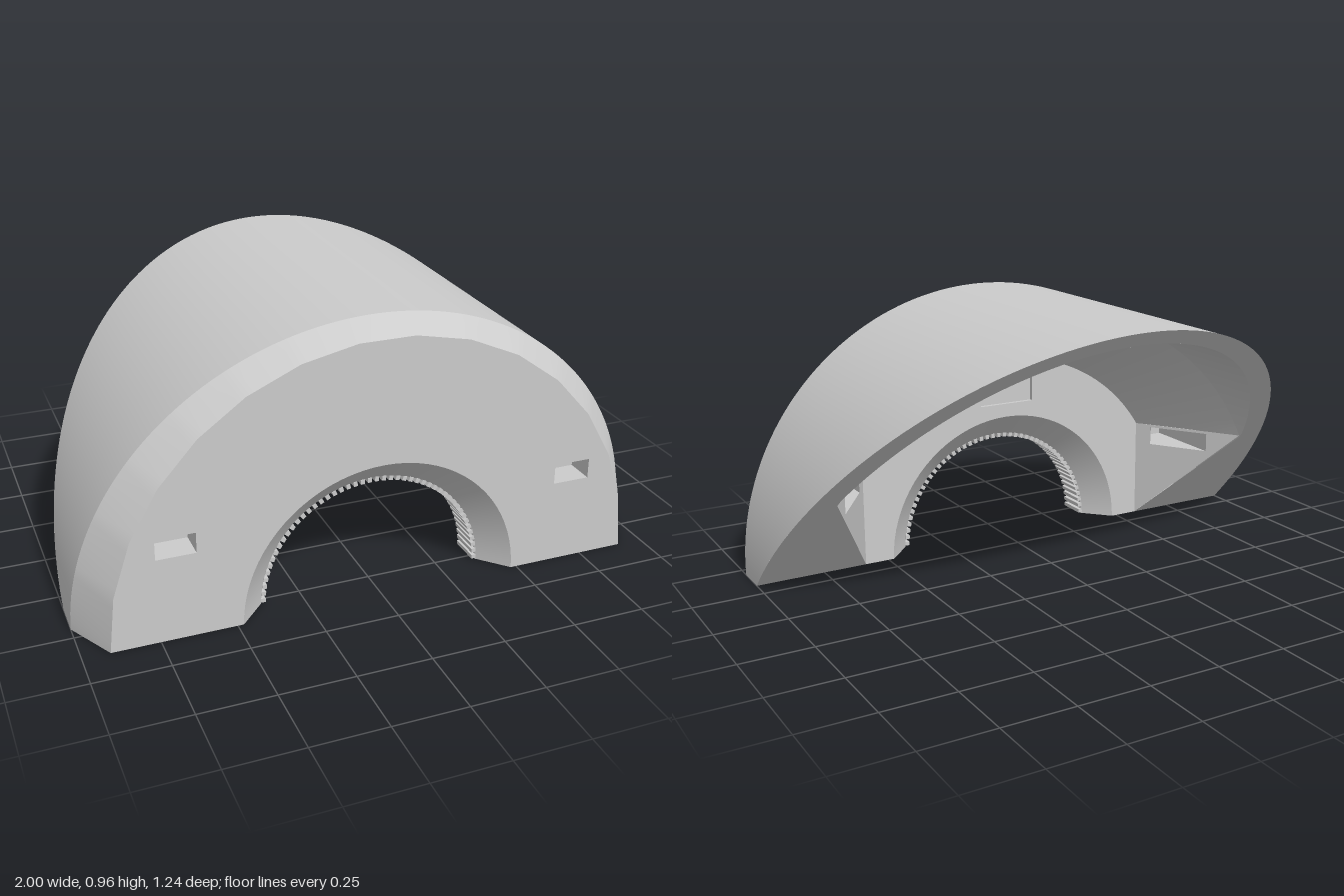
import * as THREE from 'three';
import { toCreasedNormals } from 'three/addons/utils/BufferGeometryUtils.js';

const FRONT = 0.62, BACK = 0.33;            // front face and rear of the wall
const BORE = 0.39, BORE_EDGE = 0.48;        // bore and its chamfered edge
const WALL_X = 0.59, CORNER_Y = 0.375;      // flat lower sides of the cavity
const R0 = 0.70, R1 = 0.91, TAPER = 0.36;   // cavity radii and taper length
const X1 = Math.sqrt(R1 * R1 - CORNER_Y * CORNER_Y);
const SLOT = { x: 0.69, y: 0.33, w: 0.13, h: 0.07 };
const cutZ = y => BACK - 0.985 * y;         // slanted rear cut
const flatWallZ = x => BACK - TAPER * (x - WALL_X) / (X1 - WALL_X);

const material = new THREE.MeshStandardMaterial({ color: 0xcccccc, side: THREE.DoubleSide });

// Surface from a rule fn(u, v) -> [x, y, z]
function grid(fn, nu, nv, flip = false) {
  const pos = [], idx = [];
  for (let j = 0; j <= nv; j++)
    for (let i = 0; i <= nu; i++) pos.push(...fn(i / nu, j / nv));
  for (let j = 0; j < nv; j++)
    for (let i = 0; i < nu; i++) {
      const a = j * (nu + 1) + i, b = a + 1, c = a + nu + 1, d = c + 1;
      idx.push(...(flip ? [a, c, b, b, c, d] : [a, b, c, b, d, c]));
    }
  const g = new THREE.BufferGeometry();
  g.setAttribute('position', new THREE.Float32BufferAttribute(pos, 3));
  g.setIndex(idx);
  return g;
}

const arc = (r, from, to, n) => Array.from({ length: n + 1 }, (_, i) => {
  const a = from + (to - from) * i / n;
  return [r * Math.cos(a), r * Math.sin(a)];
});
const rect = (x, y, w, h) => [
  [x - w / 2, y - h / 2], [x + w / 2, y - h / 2], [x + w / 2, y + h / 2], [x - w / 2, y + h / 2]];

// Flat face with holes, optionally turned to face -z
function face(outline, holes = [], flip = false) {
  const vec = pts => pts.map(p => new THREE.Vector2(p[0], p[1]));
  const shape = new THREE.Shape(vec(outline));
  holes.forEach(h => shape.holes.push(new THREE.Path(vec(h))));
  const g = new THREE.ShapeGeometry(shape);
  if (flip) g.index.array.reverse();
  return g;
}

// Outer section and the faceted outline of the front face
const outer = a => [Math.cos(a), 0.96 * Math.sin(a)];
const FACETS = 15, frontPts = arc(0.91, 0, Math.PI, FACETS);
function frontEdge(u) {
  const i = Math.min(FACETS - 1, Math.floor(u * FACETS)), k = u * FACETS - i;
  return [0, 1].map(c => frontPts[i][c] * (1 - k) + frontPts[i + 1][c] * k);
}
const chamferZ = a => 0.45 + 0.085 * Math.sin(a);

// Inner edge of the slanted rim: straight low down, round above
const PHI = Math.asin(CORNER_Y / R1);
function rimInner(a) {
  const b = Math.min(a, Math.PI - a), s = a > Math.PI / 2 ? -1 : 1;
  if (b >= PHI) return [R1 * Math.cos(a), R1 * Math.sin(a)];
  const k = Math.max(0, b / PHI);
  return [s * (WALL_X + (X1 - WALL_X) * k), CORNER_Y * k];
}

export function createModel() {
  const group = new THREE.Group();
  const add = (name, g, parent = group) => {
    g.deleteAttribute('uv');
    g.computeVertexNormals();
    const m = new THREE.Mesh(toCreasedNormals(g, 0.45), material);
    m.name = name;
    parent.add(m);
    return m;
  };
  const PI = Math.PI;

  // Outer skin
  add('outerShell', grid((u, v) => {
    const [x, y] = outer(u * PI), z0 = chamferZ(u * PI);
    return [x, y, z0 + (cutZ(y) - z0) * v];
  }, 90, 4, true));
  add('frontChamfer', grid((u, v) => {
    const p = frontEdge(u), q = outer(u * PI);
    return [p[0] + (q[0] - p[0]) * v, p[1] + (q[1] - p[1]) * v,
      FRONT + (chamferZ(u * PI) - FRONT) * v];
  }, 90, 1, true));
  add('slantedRim', grid((u, v) => {
    const p = outer(u * PI), q = rimInner(u * PI);
    const y = p[1] + (q[1] - p[1]) * v;
    return [p[0] + (q[0] - p[0]) * v, y, cutZ(y)];
  }, 120, 1, true));

  // Front face and rear face of the wall
  const slotRect = s => rect(s * SLOT.x, SLOT.y, SLOT.w, SLOT.h);
  add('frontFace', face([...frontPts, ...arc(BORE_EDGE, PI, 0, 40)],
    [slotRect(1), slotRect(-1)])).position.z = FRONT;
  const c0 = Math.asin(CORNER_Y / R0);
  const panel = rect(0, 0.585, 0.22, 0.11);
  add('rearWallFace', face([[WALL_X, 0], ...arc(R0, c0, PI - c0, 40), [-WALL_X, 0],
    ...arc(BORE_EDGE, PI, 0, 40)], [panel], true)).position.z = BACK;
  add('panelRecessFloor', face(panel, [], true)).position.z = BACK + 0.015;
  add('panelRecessSides', grid((u, v) => {
    const p = panel[Math.round(u * 4) % 4];
    return [p[0], p[1], BACK + 0.015 * (1 - v)];
  }, 4, 1));

  // Cavity: tapered throat, then straight hood
  add('cavityTaper', grid((u, v) => {
    const r = R0 + (R1 - R0) * v, a0 = Math.asin(CORNER_Y / r);
    const a = a0 + (PI - 2 * a0) * u;
    return [r * Math.cos(a), r * Math.sin(a), BACK - TAPER * v];
  }, 60, 6));
  add('cavityHood', grid((u, v) => {
    const a = PHI + (PI - 2 * PHI) * u, y = R1 * Math.sin(a), z0 = BACK - TAPER;
    return [R1 * Math.cos(a), y, z0 + (cutZ(y) - z0) * v];
  }, 60, 4));

  // Bore with chamfers at both ends and gripping ridges between
  const bore = [[BORE_EDGE, FRONT], [BORE, 0.525], [BORE, 0.425], [BORE_EDGE, BACK]];
  add('bore', grid((u, v) => {
    const [r, z] = bore[Math.round(v * 3)];
    return [r * Math.cos(u * PI), r * Math.sin(u * PI), z];
  }, 60, 3));
  const ridges = new THREE.Group();
  ridges.name = 'gripRidges';
  group.add(ridges);
  const RIDGES = 48;
  for (let i = 0; i < RIDGES; i++) {
    const a = (i + 0.5) / RIDGES * PI;
    const m = add('gripRidge', new THREE.BoxGeometry(0.016, 0.014, 0.11), ridges);
    m.position.set(0.384 * Math.cos(a), 0.384 * Math.sin(a), 0.475);
    m.rotation.z = a;
  }

  // Mirrored sides: flat cavity walls, slots, feet and screw holes
  for (const s of [1, -1]) {
    const side = new THREE.Group();
    side.name = s > 0 ? 'leftSide' : 'rightSide';
    group.add(side);

    const wall = face([[s * WALL_X, 0], [s * X1, CORNER_Y], [s * WALL_X, CORNER_Y]],
      [slotRect(s)], true);
    const p = wall.attributes.position;
    for (let i = 0; i < p.count; i++) p.setZ(i, flatWallZ(Math.abs(p.getX(i))));
    add('cavitySideWall', wall, side);

    const loop = rect(SLOT.x, SLOT.y, SLOT.w, SLOT.h);
    add('slotTunnel', grid((u, v) => {
      const [x, y] = loop[Math.round(u * 4) % 4];
      return [s * x, y, FRONT + (flatWallZ(x) - FRONT) * v];
    }, 4, 1, s < 0), side);
    const baffle = new THREE.Shape(slotRect(s).map(q => new THREE.Vector2(...q)));
    baffle.holes.push(new THREE.Path(
      rect(s * SLOT.x, SLOT.y, 0.045, 0.04).map(q => new THREE.Vector2(...q))));
    add('slotBaffle', new THREE.ExtrudeGeometry(baffle, { depth: 0.12, bevelEnabled: false }), side)
      .position.z = 0.4;

    const hx = 0.67 * s, hz = 0.475, hr = 0.036;
    const circle = arc(hr, 0, 2 * PI, 24).slice(0, -1).map(q => [q[0] + hx, q[1] + hz]);
    const foot = face([[1, BACK], [1, 0.45], [0.91, FRONT], ...bore.map(q => [q[0], q[1]])]
      .map(q => [q[0] * s, q[1]]), [circle]);
    add('foot', foot.rotateX(PI / 2), side);
    add('screwHole', grid((u, v) => [hx + hr * Math.cos(u * 2 * PI), 0.15 * v,
      hz + hr * Math.sin(u * 2 * PI)], 24, 1), side);
    add('screwHoleEnd', face(circle).rotateX(PI / 2), side).position.y = 0.15;
  }
  return group;
}
